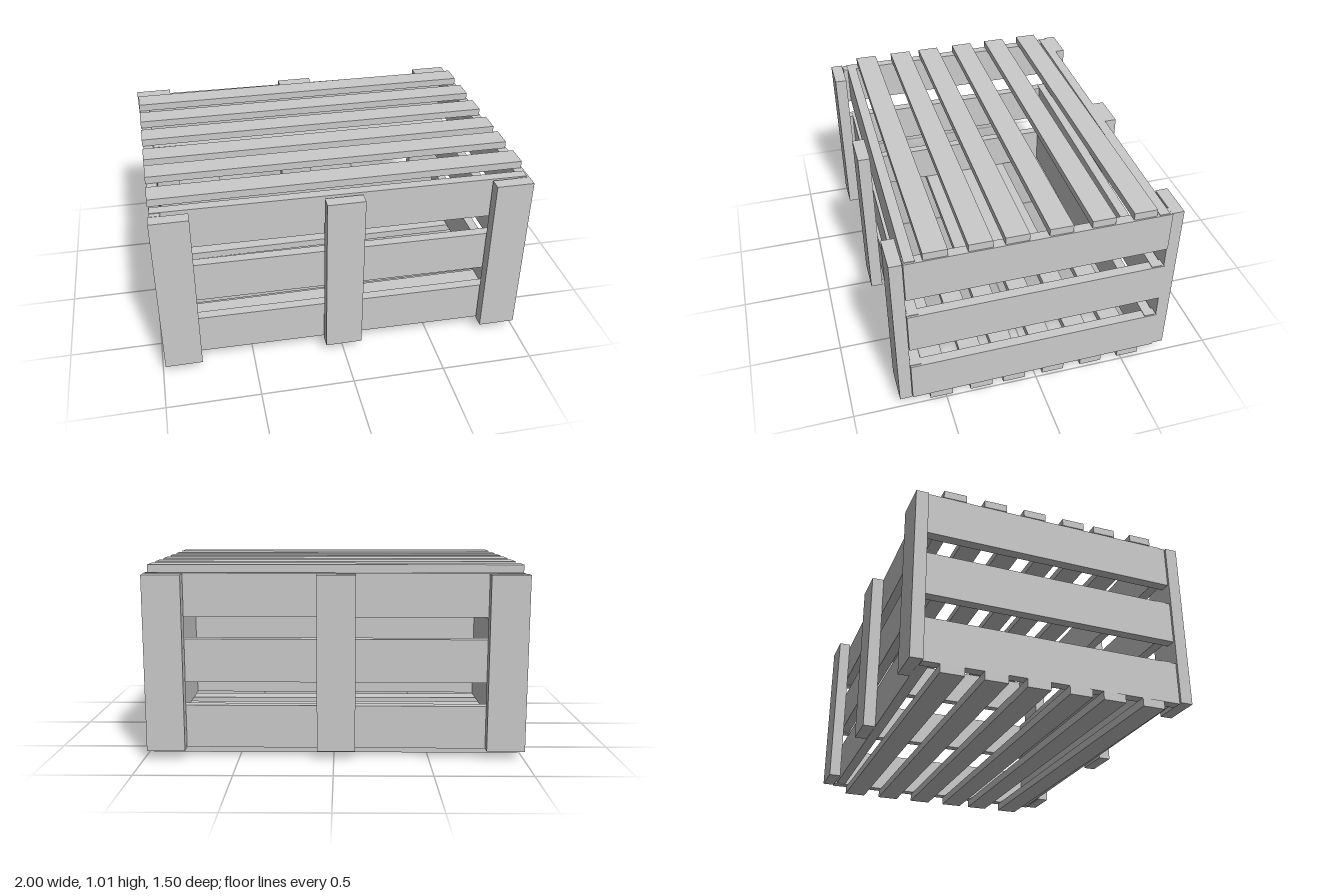
import * as THREE from 'three';

export function createModel() {
  const crate = new THREE.Group();
  crate.name = 'woodenCrate';
  const wood = new THREE.MeshStandardMaterial({ color: 0xcccccc, flatShading: true });

  function plank(name, size, position, turn = 0) {
    const mesh = new THREE.Mesh(new THREE.BoxGeometry(...size), wood);
    mesh.name = name;
    mesh.position.set(...position);
    mesh.rotation.y = turn;
    crate.add(mesh);
  }

  // Slats across the lid and the floor
  for (const z of [-0.543, -0.323, -0.103, 0.12, 0.304, 0.525]) {
    const x = -0.002 + 0.009 * z;
    plank('lidSlat', [1.97, 0.04, 0.122], [x, 0.995, z]);
    plank('floorSlat', [1.97, 0.045, 0.122], [x, 0.0225, z]);
  }

  // Three rows of boards around the walls, each nailed on slightly askew
  for (const y of [0.16, 0.515, 0.86]) {
    plank('frontBoard', [1.96, 0.229, 0.054], [0.005, y + 0.004, 0.638], -0.011);
    plank('backBoard', [1.96, 0.229, 0.054], [0.0, y + 0.004, -0.658], -0.011);
    plank('leftBoard', [0.054, 0.229, 1.37], [0.963, y, -0.004], 0.008);
    plank('rightBoard', [0.054, 0.229, 1.37], [-0.956, y, -0.004], 0.011);
  }

  // Upright battens on the front and back
  for (const x of [-0.885, 0, 0.895]) {
    plank('frontBatten', [0.2, 0.925, 0.066], [x, 0.5125, 0.717]);
  }
  for (const x of [-0.9, -0.012, 0.88]) {
    plank('backBatten', [0.2, 0.925, 0.066], [x, 0.5125, -0.719]);
  }

  return crate;
}
